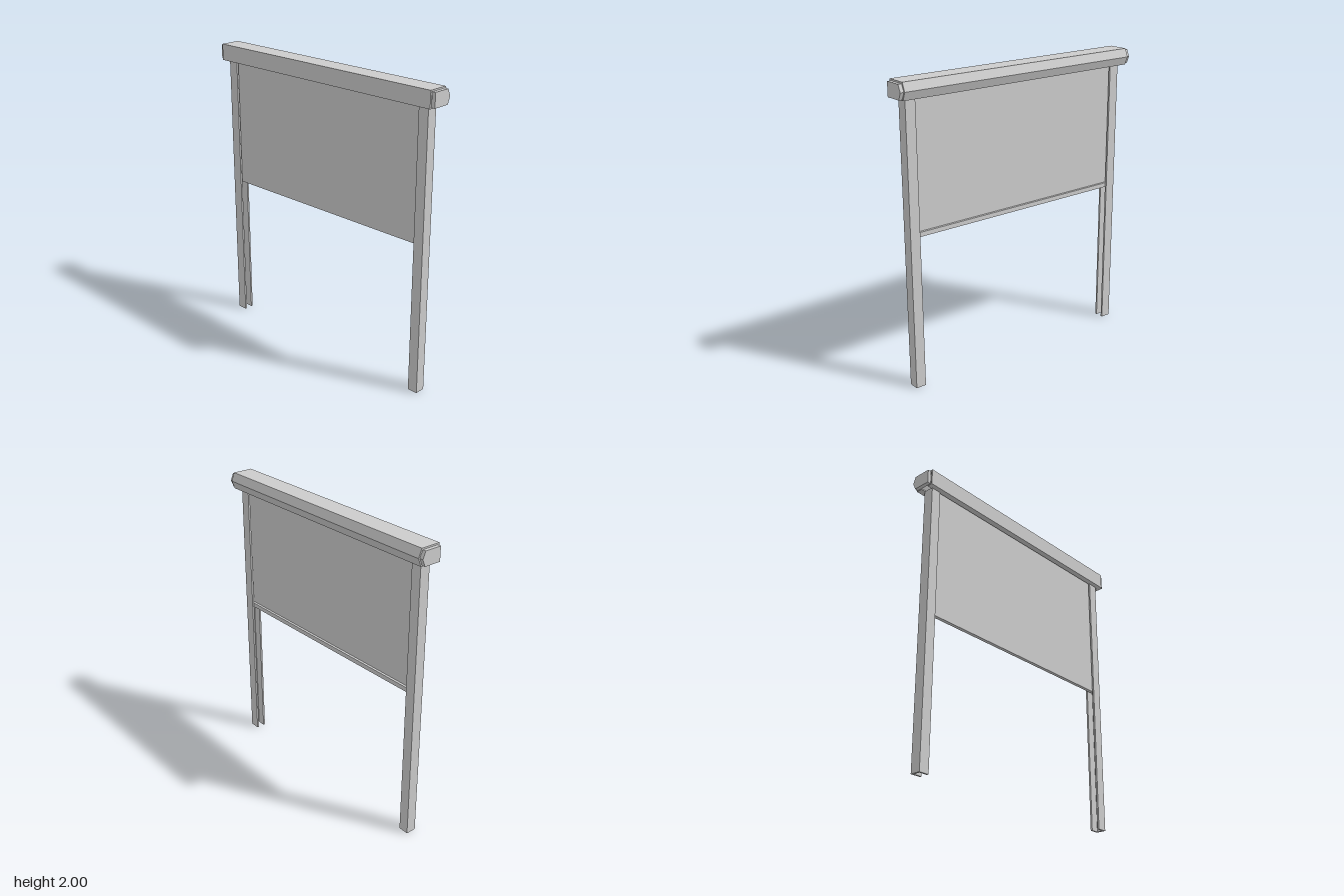
import * as THREE from 'three';

const material = new THREE.MeshStandardMaterial({ color: 0xcccccc, flatShading: true });

const toShape = (points) => new THREE.Shape(points.map(([a, b]) => new THREE.Vector2(a, b)));

function addMesh(group, name, geometry) {
  const mesh = new THREE.Mesh(geometry, material);
  mesh.name = name;
  group.add(mesh);
  return mesh;
}

// Extrudes a [z, y] profile along x, centred on x = 0
function alongX(points, length) {
  const geometry = new THREE.ExtrudeGeometry(toShape(points), { depth: length, bevelEnabled: false });
  return geometry.translate(0, 0, -length / 2).rotateY(-Math.PI / 2);
}

// Extrudes an [x, z] profile upward from y = 0
function alongY(points, height) {
  const shape = toShape(points.map(([x, z]) => [x, -z]));
  return new THREE.ExtrudeGeometry(shape, { depth: height, bevelEnabled: false }).rotateX(-Math.PI / 2);
}

export function createModel() {
  const group = new THREE.Group();

  // Hollow housing with a pointed back and a slot underneath
  addMesh(group, 'housing', alongX([
    [0.04, 1.89], [0.08, 1.89], [0.08, 2], [-0.057, 2], [-0.08, 1.945], [-0.057, 1.89], [-0.015, 1.89],
    [-0.015, 1.9], [-0.05, 1.9], [-0.069, 1.945], [-0.05, 1.99], [0.07, 1.99], [0.07, 1.9], [0.04, 1.9],
  ], 1.79));

  const capProfile = [
    [0.067, 1.896], [0.067, 1.99], [-0.05, 1.99], [-0.07, 1.943], [-0.05, 1.896],
  ];
  // U-shaped rail section, open toward the screen
  const railProfile = [
    [0.79, 0.048], [0.86, 0.048], [0.86, -0.022], [0.79, -0.022],
    [0.79, -0.009], [0.847, -0.009], [0.847, 0.035], [0.79, 0.035],
  ];
  for (const [side, s] of [['left', 1], ['right', -1]]) {
    addMesh(group, side + 'EndCap', alongX(capProfile, 0.025)).position.x = s * 0.9065;
    addMesh(group, side + 'GuideRail', alongY(railProfile.map(([x, z]) => [s * x, z]), 1.895));
  }

  // Lowered screen, with a bottom bar projecting to the back
  const screen = addMesh(group, 'screen', new THREE.BoxGeometry(1.66, 0.94, 0.008));
  screen.position.set(0, 1.485, 0.021);
  const bar = addMesh(group, 'bottomBar', new THREE.BoxGeometry(1.66, 0.03, 0.025));
  bar.position.set(0, 1.03, 0.0125);

  return group;
}
